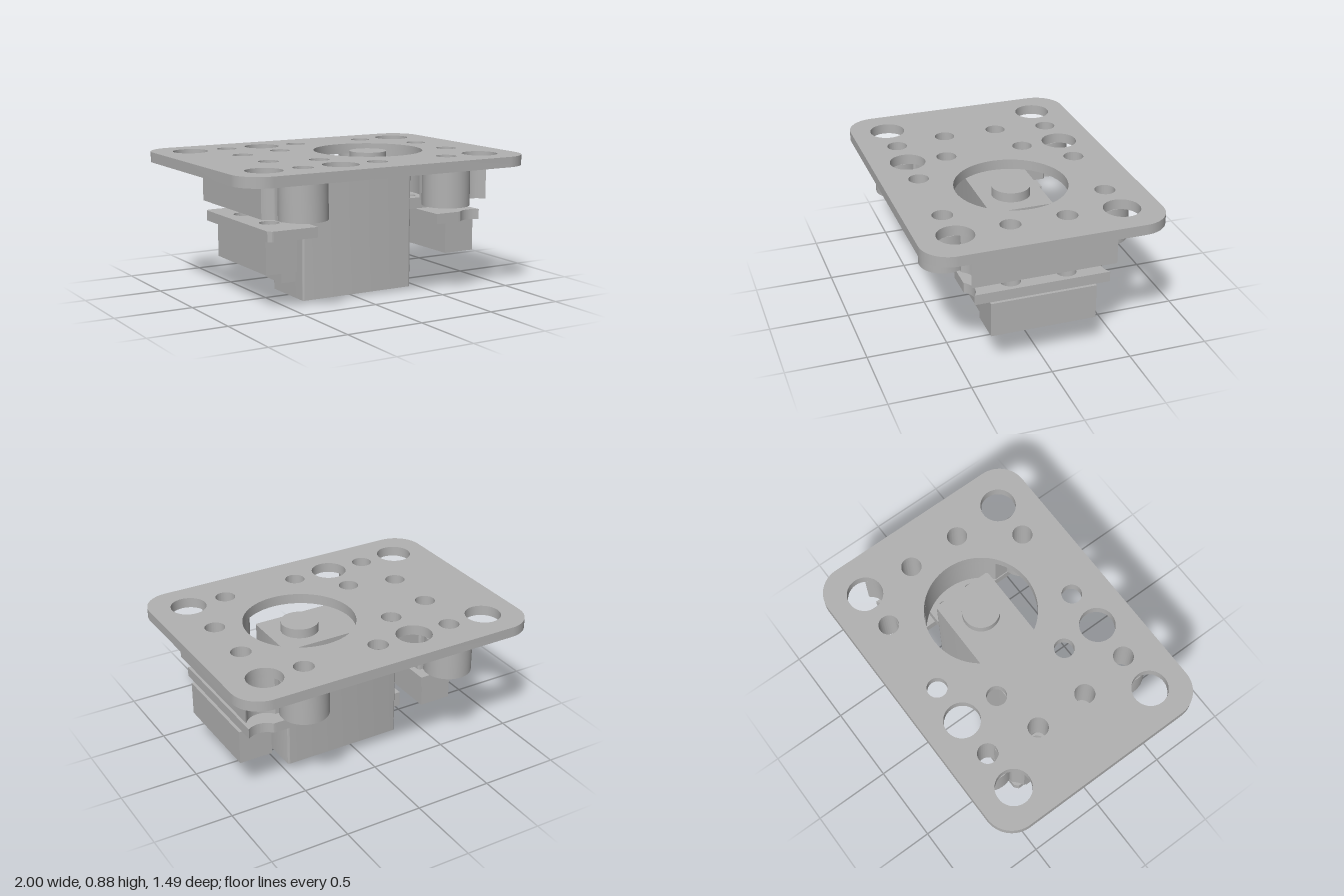
import * as THREE from 'three';
import { toCreasedNormals } from 'three/addons/utils/BufferGeometryUtils.js';

const grey = new THREE.MeshStandardMaterial({ color: 0xb2b2b2 });
grey.name = 'plain grey';

const HOLE_R = 0.112, BOLT_R = 0.063;
const lightening = [-0.765, -0.255, 0.76];

// Plan outlines are drawn in x and z, then raised from y0 to y1
function slab(name, shape, y0, y1) {
  const geo = new THREE.ExtrudeGeometry(shape, { depth: y1 - y0, bevelEnabled: false, curveSegments: 32 });
  geo.rotateX(-Math.PI / 2);
  geo.translate(0, y0, 0);
  const mesh = new THREE.Mesh(toCreasedNormals(geo, 0.5), grey);
  mesh.name = name;
  return mesh;
}

function roundedRect(x0, x1, halfZ, r) {
  const s = new THREE.Shape();
  s.moveTo(x0 + r, -halfZ);
  s.lineTo(x1 - r, -halfZ);
  if (r) s.absarc(x1 - r, -halfZ + r, r, -Math.PI / 2, 0);
  s.lineTo(x1, halfZ - r);
  if (r) s.absarc(x1 - r, halfZ - r, r, 0, Math.PI / 2);
  s.lineTo(x0 + r, halfZ);
  if (r) s.absarc(x0 + r, halfZ - r, r, Math.PI / 2, Math.PI);
  s.lineTo(x0, -halfZ + r);
  if (r) s.absarc(x0 + r, -halfZ + r, r, Math.PI, Math.PI * 1.5);
  return s;
}

function circle(x, z, r, Kind = THREE.Path) {
  return new Kind().absarc(x, z, r, 0, Math.PI * 2, false);
}

function drillPair(shape, x, z, r) {
  for (const s of [-1, 1]) shape.holes.push(circle(x, s * z, r));
}

// Rectangle whose ends are bitten by the lightening holes,
// and whose inner edge may follow the round opening
function bittenRect(x0, x1, halfZ, followOpening) {
  const pts = [], n = 48;
  const endZ = (x) => lightening.reduce((z, cx) => {
    const d = HOLE_R ** 2 - (x - cx) ** 2;
    return d > 0 ? Math.min(z, 0.51 - Math.sqrt(d)) : z;
  }, halfZ);
  for (let i = 0; i <= n; i++) {
    const x = x0 + (x1 - x0) * i / n;
    pts.push(new THREE.Vector2(x, -endZ(x)));
  }
  for (let i = n; i >= 0; i--) {
    const x = x0 + (x1 - x0) * i / n;
    pts.push(new THREE.Vector2(x, endZ(x)));
  }
  if (followOpening) {
    const reach = Math.sqrt(0.35 ** 2 - (x0 - 0.25) ** 2);
    for (let i = 0; i <= 32; i++) {
      const z = reach * (1 - i / 16);
      pts.push(new THREE.Vector2(0.25 + Math.sqrt(0.35 ** 2 - z * z), z));
    }
  }
  return new THREE.Shape(pts);
}

export function createModel() {
  const model = new THREE.Group();
  model.name = 'motorMount';

  // Top plate with its holes
  const plate = roundedRect(-1, 1, 0.745, 0.18);
  plate.holes.push(circle(0.25, 0, 0.35));
  for (const x of lightening) drillPair(plate, x, 0.51, HOLE_R);
  for (const x of [-0.51, 0, 0.505]) drillPair(plate, x, 0.51, BOLT_R);
  for (const x of [-0.56, 0.74]) drillPair(plate, x, 0.175, BOLT_R);
  drillPair(plate, -0.255, 0.255, BOLT_R);
  model.add(slab('topPlate', plate, 0.82, 0.885));

  // The two clamping sides
  const sides = [
    { name: 'right', wall: [-0.73, -0.34], clamp: [-0.7, -0.37], nut: [-0.665, -0.455], bolt: -0.56, boss: -0.51 },
    { name: 'left', wall: [0.47, 0.86], clamp: [0.49, 0.83], nut: [0.635, 0.85], bolt: 0.74, boss: 0.505 },
  ];
  for (const side of sides) {
    const group = new THREE.Group();
    group.name = side.name + 'Clamp';

    const wall = bittenRect(...side.wall, 0.45, side.name === 'left');
    drillPair(wall, side.bolt, 0.175, BOLT_R);
    group.add(slab('supportBlock', wall, 0.58, 0.82));

    for (const s of [-1, 1]) {
      const boss = circle(side.boss, s * 0.51, 0.149, THREE.Shape);
      boss.holes.push(circle(side.boss, s * 0.51, BOLT_R));
      group.add(slab('screwBoss', boss, 0.58, 0.82));
    }

    const clamp = bittenRect(...side.clamp, 0.44, false);
    drillPair(clamp, side.bolt, 0.175, BOLT_R);
    group.add(slab('clampPlate', clamp, 0.445, 0.51));

    // Nut holder: bolt holes above, hexagonal pockets below
    const upper = roundedRect(...side.nut, 0.33, 0);
    drillPair(upper, side.bolt, 0.175, BOLT_R);
    group.add(slab('nutHolderTop', upper, 0.335, 0.445));
    const lower = roundedRect(...side.nut, 0.33, 0);
    for (const s of [-1, 1]) {
      const hex = [];
      for (let i = 0; i < 6; i++) {
        const a = i * Math.PI / 3;
        hex.push(new THREE.Vector2(side.bolt + 0.102 * Math.cos(a), s * 0.175 + 0.102 * Math.sin(a)));
      }
      lower.holes.push(new THREE.Path(hex));
    }
    group.add(slab('nutHolderPockets', lower, 0.225, 0.335));
    model.add(group);
  }

  // Motor: case, mounting ears, output shaft and cable exit
  const motor = new THREE.Group();
  motor.name = 'motor';
  motor.add(slab('motorCase', roundedRect(-0.34, 0.455, 0.198, 0.015), 0, 0.82));
  for (const [x0, x1, hole] of [[-0.49, -0.33, -0.4], [0.445, 0.6, 0.515]]) {
    const ear = roundedRect(x0, x1, 0.198, 0);
    drillPair(ear, hole, 0.1, 0.036);
    motor.add(slab('mountingEar', ear, 0.51, 0.58));
  }
  motor.add(slab('outputShaft', circle(0.25, 0, 0.118, THREE.Shape), 0.82, 0.88));
  motor.add(slab('cableExit', roundedRect(-0.44, -0.335, 0.1, 0), 0.105, 0.205));
  model.add(motor);

  return model;
}
